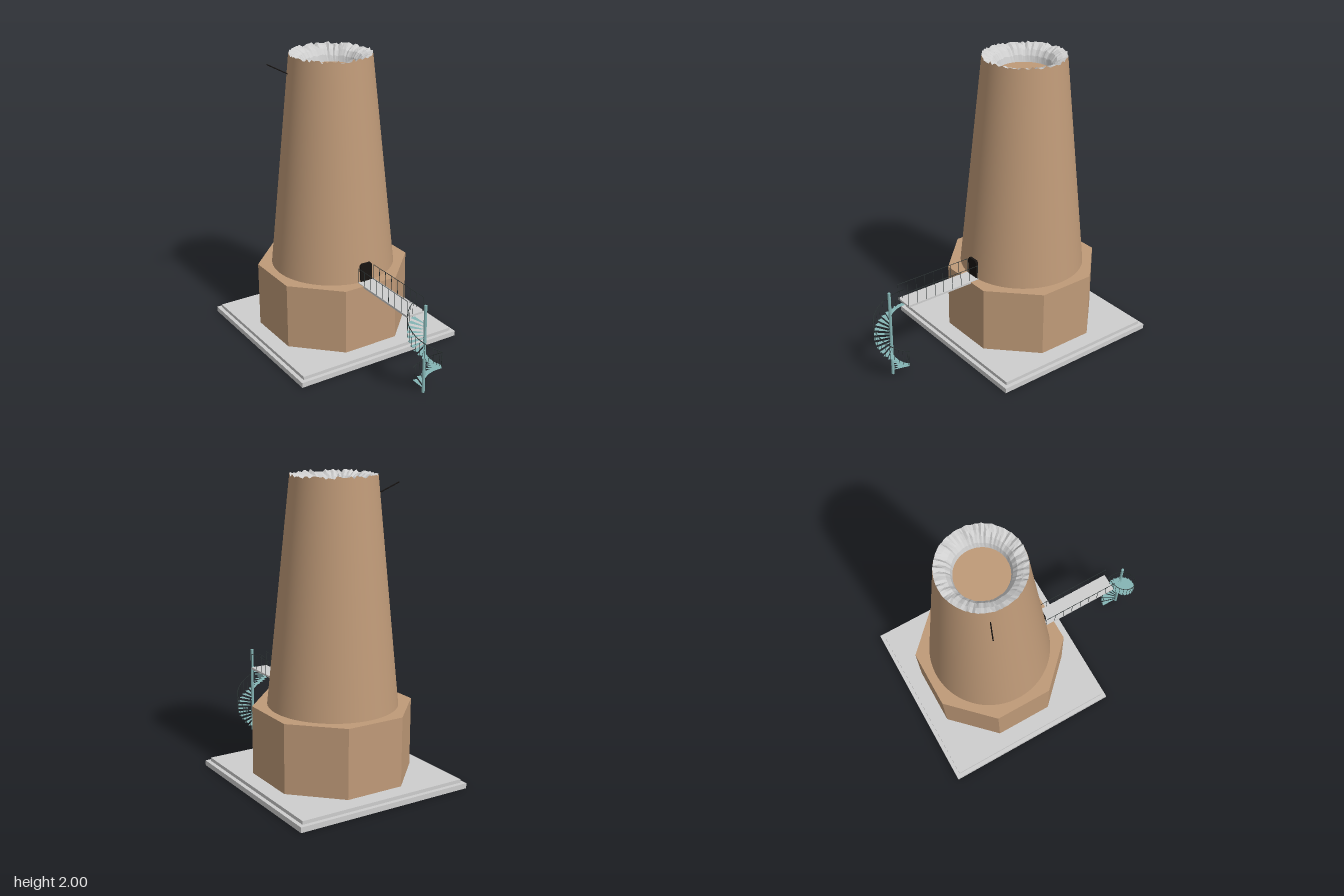
import * as THREE from 'three';

const mat = (name, color, opts = {}) => {
  const m = new THREE.MeshStandardMaterial({ color, ...opts });
  m.name = name;
  return m;
};

export function createModel() {
  const model = new THREE.Group();
  const brown = mat('brown wall', 0xbf9a78);
  brown.side = THREE.DoubleSide;
  const brownFlat = brown.clone();
  brownFlat.flatShading = true;
  const grey = mat('pale grey', 0xcecece, { flatShading: true, side: THREE.DoubleSide });
  const teal = mat('teal steel', 0x85b5b5, { flatShading: true, side: THREE.DoubleSide });
  const dark = mat('dark iron', 0x2c3434);
  const black = mat('black', 0x181412);

  const add = (parent, name, geo, material, x = 0, y = 0, z = 0) => {
    const mesh = new THREE.Mesh(geo, material);
    mesh.name = name;
    mesh.position.set(x, y, z);
    parent.add(mesh);
    return mesh;
  };
  const group = (name) => {
    const g = new THREE.Group();
    g.name = name;
    model.add(g);
    return g;
  };
  // Thin round bar between two points
  const bar = (parent, name, a, b, r, material) => {
    const p = new THREE.Vector3(...a), q = new THREE.Vector3(...b);
    const mesh = add(parent, name, new THREE.CylinderGeometry(r, r, p.distanceTo(q), 6), material);
    mesh.position.copy(p).add(q).multiplyScalar(0.5);
    mesh.quaternion.setFromUnitVectors(new THREE.Vector3(0, 1, 0), q.sub(p).normalize());
    return mesh;
  };

  const CZ = -0.29; // tower axis

  // Stepped plinth and octagonal base
  add(model, 'lowerSlab', new THREE.BoxGeometry(1.244, 0.035, 1.244), grey, 0, 0.0175, CZ);
  add(model, 'upperSlab', new THREE.BoxGeometry(1.19, 0.023, 1.19), grey, 0, 0.0465, CZ);
  const octagon = new THREE.CylinderGeometry(0.525, 0.525, 0.457, 8);
  octagon.rotateY(Math.PI / 8);
  add(model, 'octagonalBase', octagon, brownFlat, 0, 0.2865, CZ);

  // Ragged rim heights shared by the tower wall and the crater
  const N = 100;
  let seed = 7;
  const rand = () => (seed = (seed * 16807) % 2147483647) / 2147483647;
  const rim = Array.from({ length: N }, () => -0.022 * rand());
  const wrinkle = Array.from({ length: N }, () => rand() - 0.5);
  const lathe = (profile, shift) => {
    const geo = new THREE.LatheGeometry(profile.map(([r, y]) => new THREE.Vector2(r, y)), N);
    const pos = geo.attributes.position;
    for (let k = 0; k < pos.count; k++) {
      const j = k % profile.length, i = Math.floor(k / profile.length) % N;
      pos.setY(k, pos.getY(k) + shift(i, j));
    }
    return geo;
  };
  const wall = lathe([[0.425, 0.515], [0.277, 1.975], [0.275, 2.0]], (i, j) => (j === 2 ? rim[i] : 0));
  add(model, 'towerWall', wall, brown, 0, 0, CZ);

  // Crumpled crater sloping into the top
  const crater = lathe(
    [[0.275, 2.0], [0.24, 1.985], [0.205, 1.96], [0.18, 1.925], [0.168, 1.88]],
    (i, j) => [rim[i], rim[i] * 0.6 + wrinkle[i] * 0.014, wrinkle[i] * 0.016, wrinkle[i] * 0.012, 0][j]);
  add(model, 'craterRim', crater, grey, 0, 0, CZ);
  const floor = new THREE.CircleGeometry(0.172, 48);
  floor.rotateX(-Math.PI / 2);
  add(model, 'craterFloor', floor, brown, 0, 1.885, CZ);

  // Slanted pole near the top
  bar(model, 'flagPole', [-0.26, 1.857, -0.38], [-0.396, 1.932, -0.433], 0.004, black);

  // Arched doorway
  const arch = new THREE.Shape();
  [[-0.045, 0], [0.045, 0], [0.045, 0.115], [0.033, 0.131], [-0.033, 0.131], [-0.045, 0.115]]
    .forEach(([x, y], i) => (i ? arch.lineTo(x, y) : arch.moveTo(x, y)));
  add(model, 'doorway', new THREE.ExtrudeGeometry(arch, { depth: 0.04, bevelEnabled: false }),
    black, 0, 0.515, 0.097);

  // Walkway with railings on both sides
  const walkway = group('walkway');
  const Z0 = 0.135, Z1 = 0.69;
  add(walkway, 'deck', new THREE.BoxGeometry(0.124, 0.014, 0.58), grey, 0, 0.512, 0.4);
  for (const x of [-0.06, 0.06]) {
    bar(walkway, 'topRail', [x, 0.62, Z0], [x, 0.62, Z1], 0.002, dark);
    for (let i = 0; i <= 8; i++) {
      const z = Z0 + ((Z1 - Z0) * i) / 8;
      bar(walkway, 'railPost', [x, 0.515, z], [x, 0.62, z], 0.0018, dark);
    }
  }

  // Spiral stair: one full turn from the ground up to the deck
  const stair = group('spiralStair');
  stair.position.z = 0.795;
  const STEPS = 24, R = 0.112;
  add(stair, 'centrePole', new THREE.CylinderGeometry(0.01, 0.01, 0.623, 12), teal, 0, 0.3115, 0);
  const at = (t, lift) => {
    const a = t * Math.PI * 2;
    return [Math.sin(a) * R, 0.02 + 0.485 * t + lift, -Math.cos(a) * R];
  };
  const wedge = (Math.PI * 2) / STEPS;
  for (let i = 0; i < STEPS; i++) {
    const t = (i + 0.5) / STEPS;
    const tread = new THREE.CylinderGeometry(R, R, 0.004, 2, 1, false,
      Math.PI - t * Math.PI * 2 - wedge / 2, wedge);
    add(stair, 'tread', tread, teal, 0, at(t, 0)[1], 0);
    bar(stair, 'baluster', at(t, 0), at(t, 0.105), 0.0014, dark);
  }
  const helix = Array.from({ length: 49 }, (_, i) => new THREE.Vector3(...at(i / 48, 0.105)));
  add(stair, 'handrail', new THREE.TubeGeometry(new THREE.CatmullRomCurve3(helix), 96, 0.0025, 6), dark);

  return model;
}
